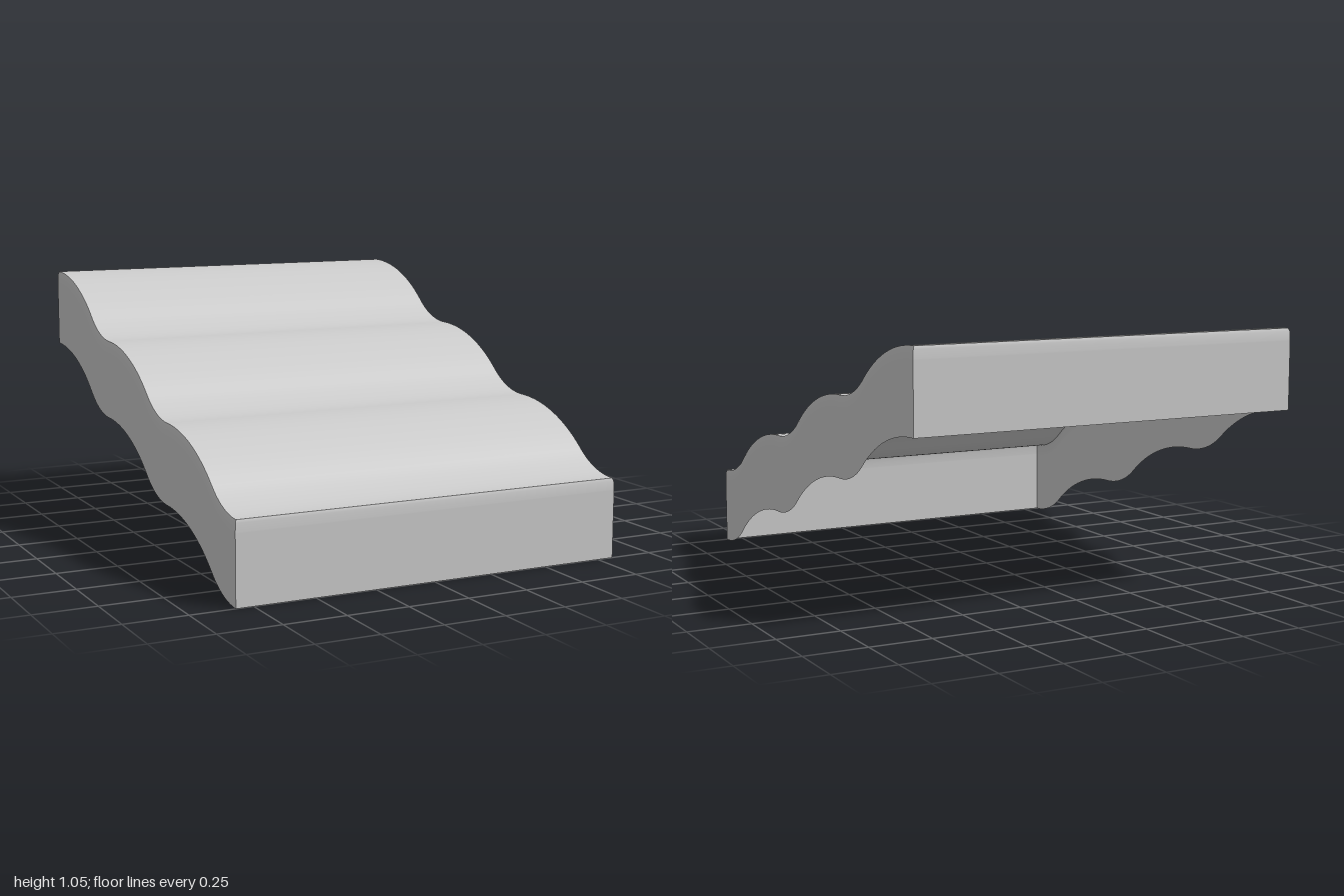
import * as THREE from 'three';

const HALF_W = 0.82, HALF_L = 1, HEIGHT = 0.325;
const STEPS = 3, RUN = 2 / STEPS, RISE = 0.243;
// Skirt rows from the top edge down: [drop, inset], a slight rounding then a plain wall
const SKIRT = [[0, 0.006], [0.012, 0.002], [0.045, 0], [0.05, 0], [HEIGHT, 0]];

// Each wave is a hollow arc running tangentially into a wider crowned arc
const ANGLE = 2 * Math.atan(RISE / RUN);
const HOLLOW = 0.22, CROWN = RUN - HOLLOW;
const R1 = HOLLOW / Math.sin(ANGLE), R2 = CROWN / Math.sin(ANGLE);

// Points [z, y] from the front foot to the top at the back
function waveProfile() {
  const points = [[HALF_L, HEIGHT]];
  const arcSteps = 14;
  for (let s = 0; s < STEPS; s++) {
    const z0 = HALF_L - s * RUN, y0 = HEIGHT + s * RISE;
    for (let i = 1; i <= arcSteps; i++) {
      const a = ANGLE * i / arcSteps;
      points.push([z0 - R1 * Math.sin(a), y0 + R1 * (1 - Math.cos(a))]);
    }
    for (let i = arcSteps - 1; i >= 0; i--) {
      const a = ANGLE * i / arcSteps;
      points.push([z0 - RUN + R2 * Math.sin(a), y0 + RISE - R2 * (1 - Math.cos(a))]);
    }
  }
  return points;
}

// Smooth sheet through rows of points (rows run down, columns run right)
function sheet(name, rows, material) {
  const cols = rows[0].length, index = [];
  for (let i = 0; i < rows.length - 1; i++) {
    for (let j = 0; j < cols - 1; j++) {
      const a = i * cols + j, b = a + cols;
      index.push(a, b, b + 1, a, b + 1, a + 1);
    }
  }
  const geometry = new THREE.BufferGeometry();
  geometry.setAttribute('position', new THREE.Float32BufferAttribute(rows.flat(2), 3));
  geometry.setIndex(index);
  geometry.computeVertexNormals();
  const mesh = new THREE.Mesh(geometry, material);
  mesh.name = name;
  return mesh;
}

export function createModel() {
  const group = new THREE.Group();
  group.name = 'wavyRamp';
  const material = new THREE.MeshStandardMaterial({ color: 0xcccccc, side: THREE.DoubleSide });
  const profile = waveProfile();
  const topInset = SKIRT[0][1];
  const insetZ = (z, inset) => z * (1 - inset / HALF_L);

  // Rippled top, open underneath
  const deckX = HALF_W - topInset;
  group.add(sheet('wavyTop', [...profile].reverse().map(([z, y]) =>
    [-deckX, deckX].map(x => [x, y, insetZ(z, topInset)])), material));

  // Side walls whose lower edge repeats the wave
  for (const [name, side] of [['leftWall', 1], ['rightWall', -1]]) {
    const path = side > 0 ? profile : [...profile].reverse();
    group.add(sheet(name, SKIRT.map(([drop, inset]) =>
      path.map(([z, y]) => [side * (HALF_W - inset), y - drop, insetZ(z, inset)])), material));
  }

  // Straight end walls
  const ends = [['frontWall', 1, HEIGHT], ['backWall', -1, HEIGHT + STEPS * RISE]];
  for (const [name, side, top] of ends) {
    group.add(sheet(name, SKIRT.map(([drop, inset]) =>
      [-side, side].map(s => [s * (HALF_W - inset), top - drop, side * (HALF_L - inset)])), material));
  }
  return group;
}
